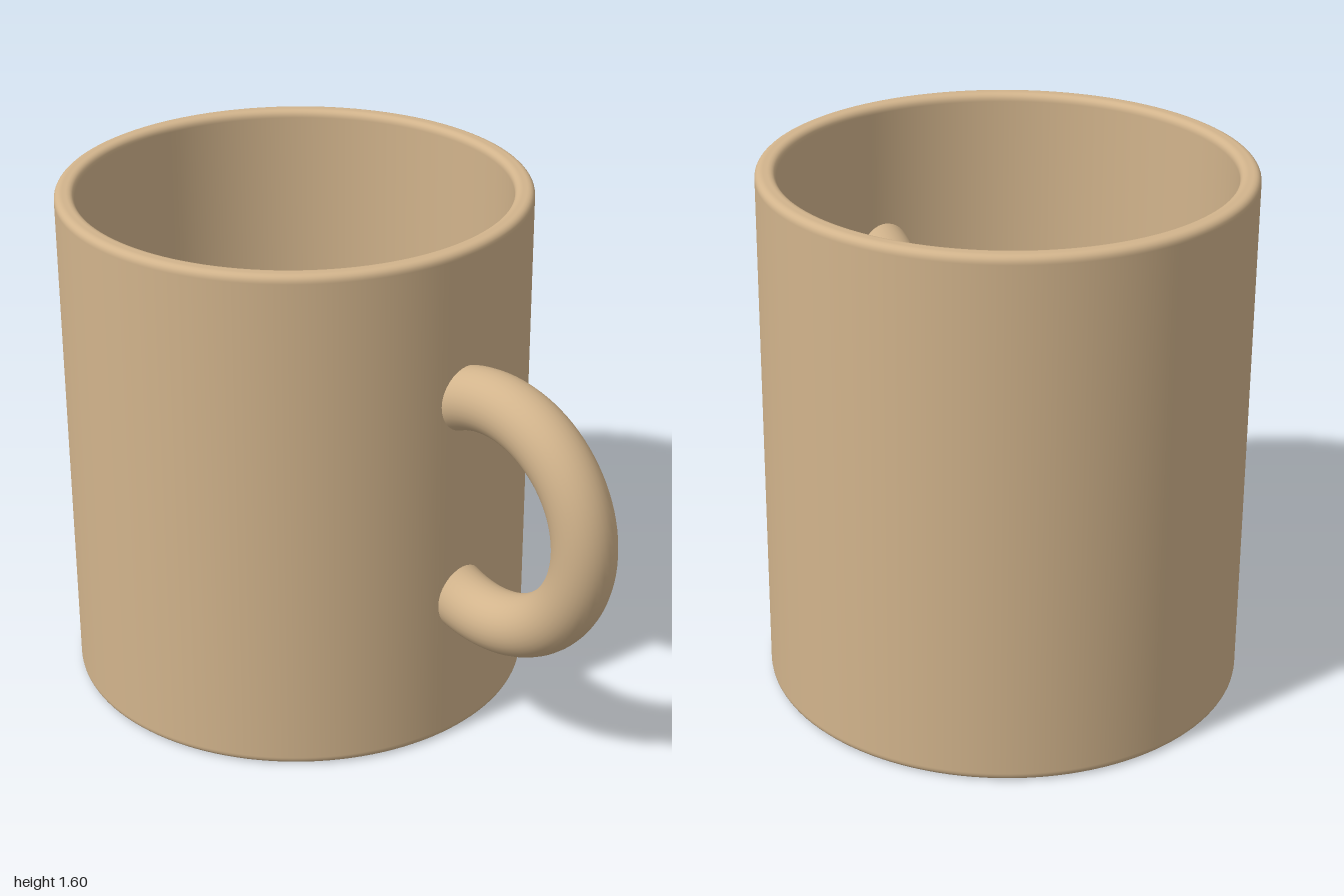
import * as THREE from 'three';

const material = new THREE.MeshStandardMaterial({ color: 0xd2b48c });

// Quarter-round corner points, with a short straight lead at each end so flat walls stay flat-shaded
function corner(cx, cy, r, startDeg, sweepDeg, steps = 5) {
  const a0 = THREE.MathUtils.degToRad(startDeg);
  const sweep = THREE.MathUtils.degToRad(sweepDeg);
  const s = Math.sign(sweep);
  const lead = 0.004;
  const pts = [];
  for (let i = 0; i <= steps; i++) {
    const a = a0 + (sweep * i) / steps;
    pts.push(new THREE.Vector2(cx + r * Math.cos(a), cy + r * Math.sin(a)));
  }
  const a1 = a0 + sweep;
  const before = pts[0].clone().add(new THREE.Vector2(s * Math.sin(a0), -s * Math.cos(a0)).multiplyScalar(lead));
  const after = pts[steps].clone().add(new THREE.Vector2(-s * Math.sin(a1), s * Math.cos(a1)).multiplyScalar(lead));
  return [before, ...pts, after];
}

export function createModel() {
  const group = new THREE.Group();
  group.name = 'mug';

  // Cup: one closed profile, from under the base, up the outside, over the rim and down to the inner floor
  const outer = 0.718, inner = 0.658, height = 1.6, floor = 0.06, r = 0.02;
  const profile = [
    new THREE.Vector2(0, 0),
    ...corner(outer - r, r, r, -90, 90),
    ...corner(outer - r, height - r, r, 0, 90),
    ...corner(inner + r, height - r, r, 90, 90),
    ...corner(inner - r, floor + r, r, 0, -90),
    new THREE.Vector2(0, floor),
  ];
  const cup = new THREE.Mesh(new THREE.LatheGeometry(profile, 128), material);
  cup.name = 'cup';
  cup.position.x = -0.282;
  group.add(cup);

  // Handle: a full ring that passes through the cup wall
  const handle = new THREE.Mesh(new THREE.TorusGeometry(0.353, 0.095, 32, 96), material);
  handle.name = 'handle';
  handle.position.set(0.552, 0.803, 0);
  group.add(handle);

  return group;
}
